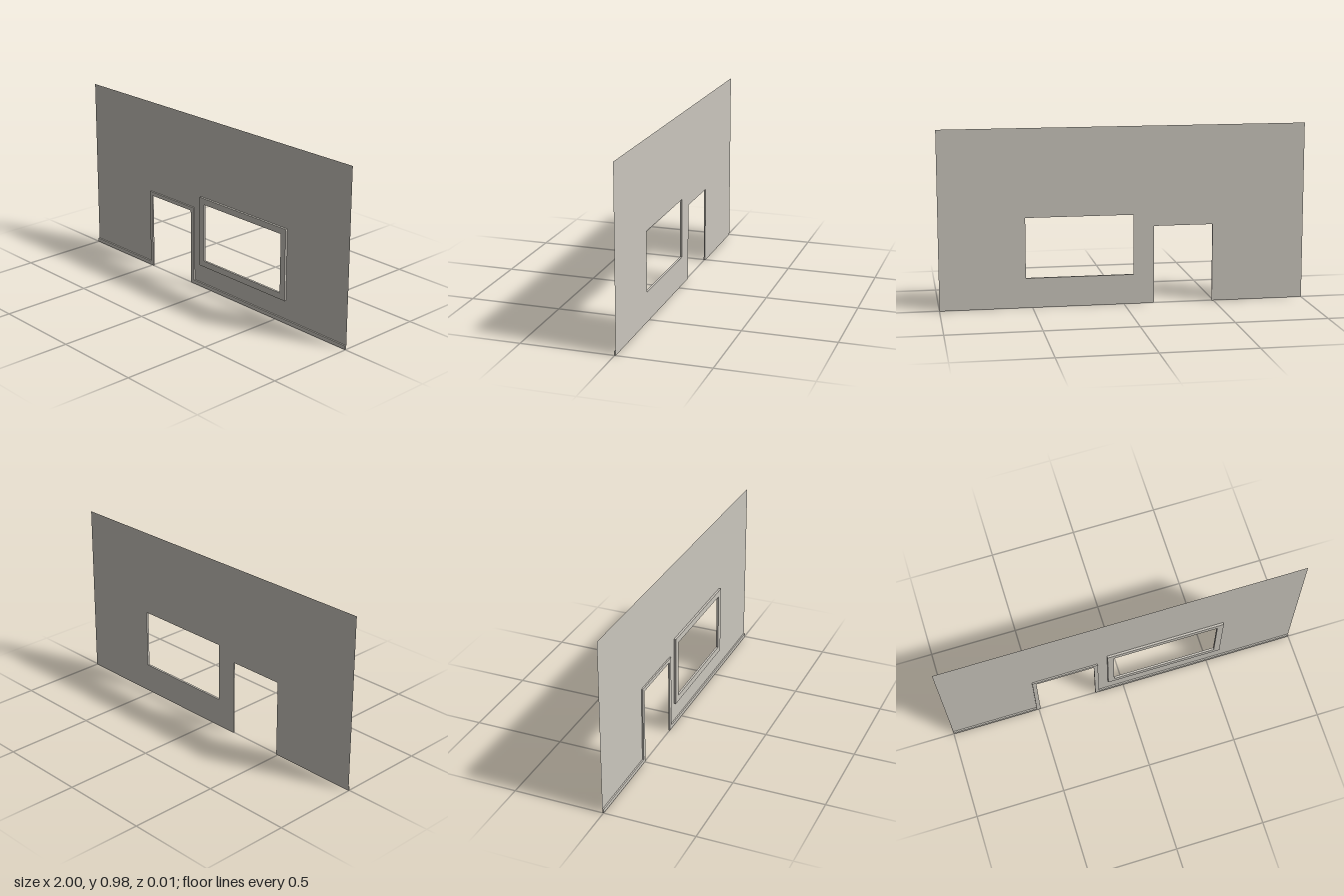
import * as THREE from 'three';

const BACK = -0.006; // plane of the wall sheet
const DOOR = { l: -0.49, r: -0.165, top: 0.428 };
const WIN = { l: -0.053, r: 0.535, b: 0.163, t: 0.493 };
const TOP = 0.975, TRIM = 0.022, FRAME = 0.035;

const shapeOf = (points) => new THREE.Shape(points.map(([x, y]) => new THREE.Vector2(x, y)));

// Rectangle corners of the window opening, grown by a margin
const windowRect = (m) => [
  [WIN.l - m, WIN.b - m], [WIN.r + m, WIN.b - m],
  [WIN.r + m, WIN.t + m], [WIN.l - m, WIN.t + m],
];

// Door opening outline from left foot to right foot, grown by a margin
const doorPath = (m, foot) => [
  [DOOR.l - m, foot], [DOOR.l - m, DOOR.top + m],
  [DOOR.r + m, DOOR.top + m], [DOOR.r + m, foot],
];

export function createModel() {
  const group = new THREE.Group();
  group.name = 'wallWithDoorAndWindow';

  const plaster = new THREE.MeshStandardMaterial({ color: 0xcbc7be, side: THREE.DoubleSide });
  plaster.name = 'warm grey plaster';

  const add = (name, geometry) => {
    const mesh = new THREE.Mesh(geometry, plaster);
    mesh.name = name;
    mesh.position.z = BACK;
    group.add(mesh);
  };
  const slab = (shape, depth) => new THREE.ExtrudeGeometry(shape, { depth, bevelEnabled: false });

  // Wall: a thin sheet with a doorway and a window opening
  const wall = shapeOf([[-1, 0], ...doorPath(0, 0), [1, 0], [1, TOP], [-1, TOP]]);
  wall.holes.push(shapeOf(windowRect(0)));
  add('wall', new THREE.ShapeGeometry(wall));

  // Skirting that runs along the floor and up around the doorway
  const trim = shapeOf([
    [-1, 0], ...doorPath(0, 0), [1, 0], [1, TRIM],
    ...doorPath(TRIM, TRIM).reverse(), [-1, TRIM],
  ]);
  add('skirtingAndDoorTrim', slab(trim, 0.008));

  // Raised window frame
  const frame = shapeOf(windowRect(FRAME));
  frame.holes.push(shapeOf(windowRect(0)));
  add('windowFrame', slab(frame, 0.012));

  return group;
}
